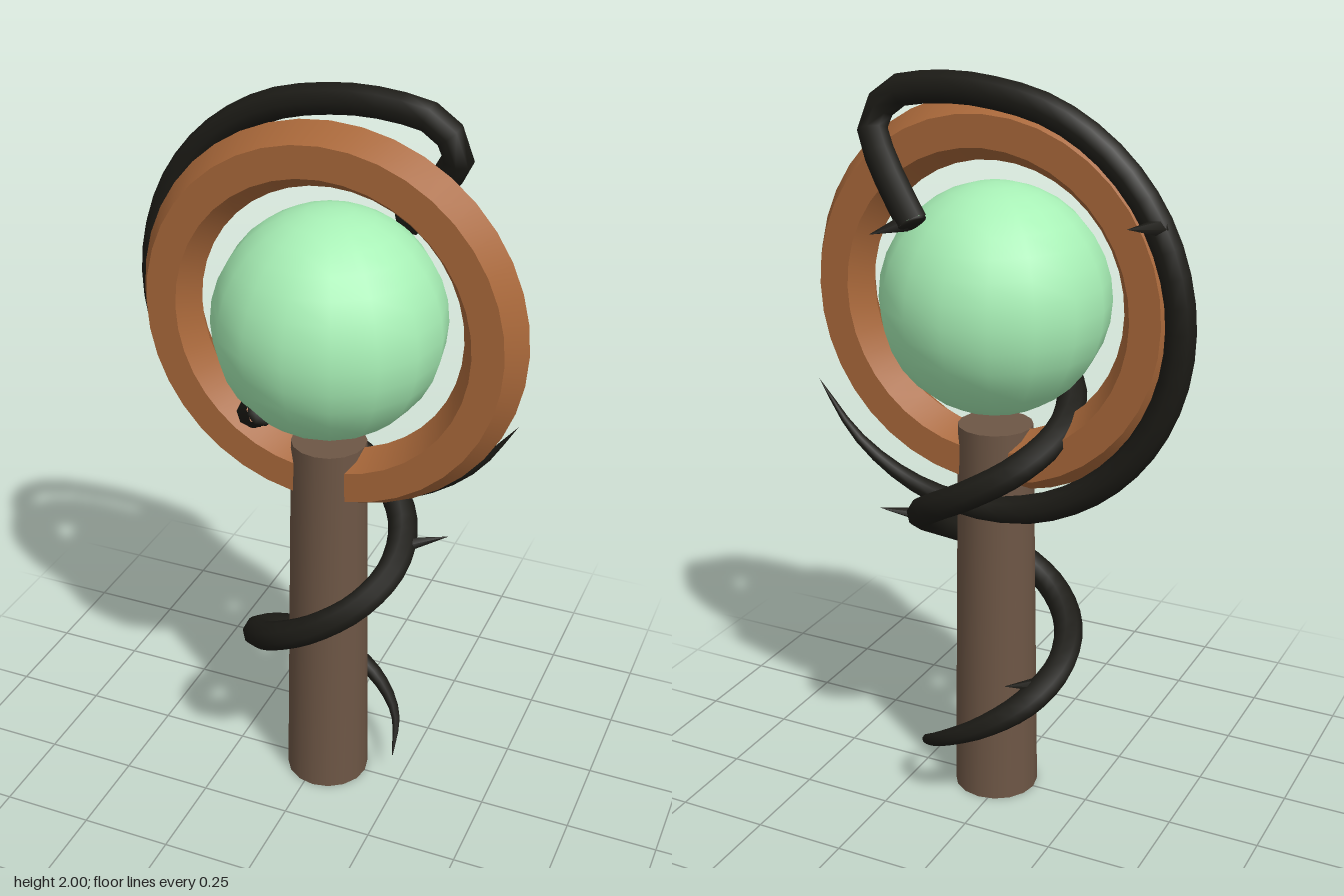
import * as THREE from 'three';
import { toCreasedNormals } from 'three/addons/utils/BufferGeometryUtils.js';

const CX = 0.027, CY = 1.42;
const V = (x, y, z) => new THREE.Vector3(x, y, z);
const rad = THREE.MathUtils.degToRad;

const bark = new THREE.MeshStandardMaterial({ color: 0x6d5645 });
const copper = new THREE.MeshStandardMaterial({ color: 0xa9683a });
const jade = new THREE.MeshStandardMaterial({ color: 0xa8f0b6 });
const vineMat = new THREE.MeshStandardMaterial({ color: 0x1c1b16 });

function add(parent, name, geometry, material) {
  const mesh = new THREE.Mesh(geometry, material);
  mesh.name = name;
  parent.add(mesh);
  return mesh;
}

// Tube that thins to a point over the first part of its length, closed at the thick end
function vine(parent, name, points, segments, radius, taper) {
  const curve = new THREE.CatmullRomCurve3(points);
  const sides = 8;
  const geo = new THREE.TubeGeometry(curve, segments, radius, sides);
  const pos = geo.attributes.position, p = new THREE.Vector3();
  for (let i = 0; i <= segments; i++) {
    const c = curve.getPointAt(i / segments);
    const k = Math.min(1, Math.pow(i / segments / taper, 0.8));
    for (let j = 0; j <= sides; j++) {
      const n = i * (sides + 1) + j;
      p.fromBufferAttribute(pos, n).sub(c).multiplyScalar(k).add(c);
      pos.setXYZ(n, p.x, p.y, p.z);
    }
  }
  add(parent, name, geo, vineMat);
  const end = curve.getPointAt(1), dir = curve.getTangentAt(1);
  const cap = add(parent, name + 'End', new THREE.SphereGeometry(radius * 0.99, 8, 3, 0, Math.PI * 2, 0, Math.PI / 2), vineMat);
  cap.scale.y = 0.3;
  cap.position.copy(end);
  cap.quaternion.setFromUnitVectors(V(0, 1, 0), dir);
}

// Small cone from base to tip
function thorn(parent, base, tip) {
  const dir = tip.clone().sub(base), h = dir.length();
  const cone = add(parent, 'thorn', new THREE.ConeGeometry(0.024, h, 6), vineMat);
  cone.position.copy(base).addScaledVector(dir, 0.5);
  cone.quaternion.setFromUnitVectors(V(0, 1, 0), dir.normalize());
}

export function createModel() {
  const model = new THREE.Group();
  model.name = 'orbStaff';

  // Handle
  const handle = add(model, 'handle', toCreasedNormals(new THREE.CylinderGeometry(0.1, 0.116, 1.08, 16), 0.6), bark);
  handle.position.set(CX, 0.54, 0);

  // Ring with a six-sided section
  const ring = add(model, 'ring', toCreasedNormals(new THREE.TorusGeometry(0.437, 0.0825, 6, 40), 0.6), copper);
  ring.position.set(CX, CY, 0);

  // Orb
  const orb = add(model, 'orb', new THREE.SphereGeometry(0.3, 16, 16), jade);
  orb.position.set(CX, CY, 0);

  // Vine winding up the handle
  const vines = new THREE.Group();
  vines.name = 'vines';
  model.add(vines);
  const helix = [];
  for (let d = 0; d <= 595; d += 35) {
    helix.push(V(CX + 0.2 * Math.cos(rad(d)), 0.075 + d * 0.00193, -0.2 * Math.sin(rad(d))));
  }
  vine(vines, 'handleVine', helix, 60, 0.04, 0.24);

  // Vine running behind the ring, then bending down onto the orb
  const loop = [];
  for (let d = -28; d >= -268; d -= 20) {
    loop.push(V(CX + 0.54 * Math.cos(rad(d)), CY + 0.54 * Math.sin(rad(d)), -0.102));
  }
  loop.push(V(0.14, 1.96, -0.1), V(0.26, 1.935, -0.098), V(0.31, 1.86, -0.11),
    V(0.25, 1.755, -0.15), V(0.165, 1.64, -0.18));
  vine(vines, 'ringVine', loop, 44, 0.04, 0.25);

  // Thorns
  thorn(vines, V(-0.15, 0.375, -0.06), V(-0.08, 0.405, -0.17));
  thorn(vines, V(0.22, 0.785, -0.02), V(0.34, 0.81, -0.08));
  thorn(vines, V(-0.46, 1.68, -0.115), V(-0.41, 1.69, -0.207));
  thorn(vines, V(0.18, 1.64, -0.185), V(0.252, 1.615, -0.242));

  return model;
}
